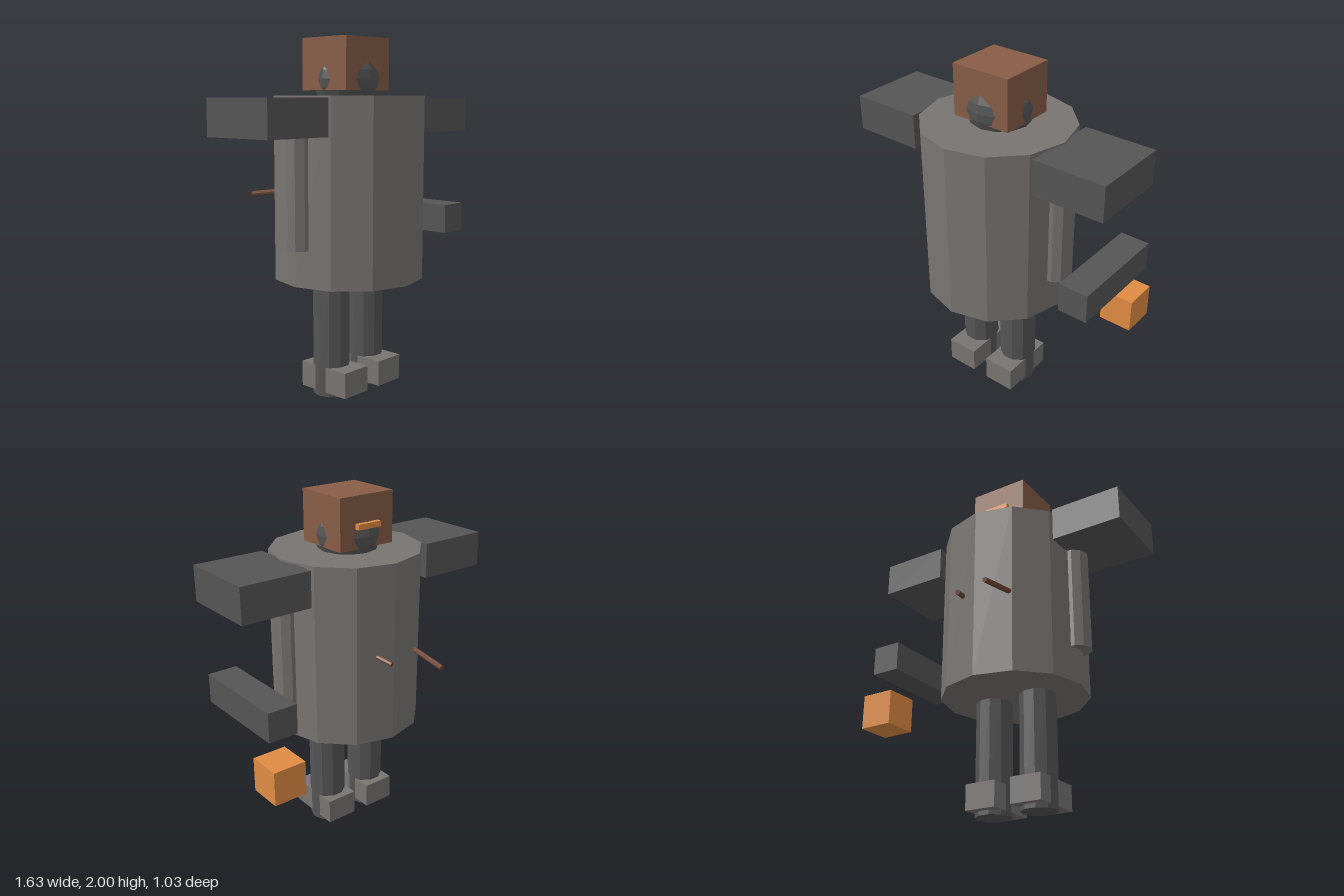
import * as THREE from 'three';

export function createModel() {
  const model = new THREE.Group();
  const paint = (color) => new THREE.MeshStandardMaterial({ color, flatShading: true });
  const stone = paint(0x787472);
  const dark = paint(0x555555);
  const brown = paint(0x875d46);
  const orange = paint(0xe08c44);
  const bark = paint(0x6e4836);

  function add(name, geometry, material, x, y, z) {
    const mesh = new THREE.Mesh(geometry, material);
    mesh.name = name;
    mesh.position.set(x, y, z);
    model.add(mesh);
    return mesh;
  }

  // Box given by its minimum and maximum corners
  function box(name, material, [x0, y0, z0], [x1, y1, z1]) {
    return add(name, new THREE.BoxGeometry(x1 - x0, y1 - y0, z1 - z0), material,
      (x0 + x1) / 2, (y0 + y1) / 2, (z0 + z1) / 2);
  }

  // Upright faceted column with a corner pointing sideways
  function column(name, material, radius, sides, x, y0, y1, z) {
    const geometry = new THREE.CylinderGeometry(radius, radius, y1 - y0, sides);
    geometry.rotateY(Math.PI / 2);
    return add(name, geometry, material, x, (y0 + y1) / 2, z);
  }

  // Thin rod between two points
  function twig(name, from, to) {
    const a = new THREE.Vector3(...from);
    const b = new THREE.Vector3(...to);
    const dir = b.clone().sub(a);
    const mid = a.clone().add(b).multiplyScalar(0.5);
    const rod = add(name, new THREE.CylinderGeometry(0.015, 0.015, dir.length(), 8), bark, mid.x, mid.y, mid.z);
    rod.quaternion.setFromUnitVectors(new THREE.Vector3(0, 1, 0), dir.normalize());
  }

  // Torso and head, with the neck ball bulging through the head's faces
  column('torso', stone, 0.428, 12, 0, 0.66, 1.683, 0.085);
  add('neckBall', new THREE.SphereGeometry(0.19, 12, 12), dark, 0, 1.775, 0.066);
  box('head', brown, [-0.177, 1.713, -0.1], [0.177, 2, 0.23]);
  box('headClip', orange, [-0.075, 1.822, -0.127], [0.075, 1.853, -0.09]);

  // Paired limbs
  for (const [side, s] of [['left', 1], ['right', -1]]) {
    column(side + 'Leg', dark, 0.105, 10, s * 0.145, 0, 0.68, 0.09);
    box(side + 'Foot', stone, [s * 0.143 - 0.094, 0.025, -0.053], [s * 0.143 + 0.094, 0.17, 0.28]);
    column(side + 'Arm', stone, 0.084, 10, s * 0.405, 0.865, 1.5, 0.09);
    box(side + 'Shoulder', dark, [s * 0.608 - 0.208, 1.473, -0.145], [s * 0.608 + 0.208, 1.673, 0.315]);
  }

  // Detached left forearm and the block beneath it
  box('forearm', dark, [0.595, 0.86, -0.27], [0.77, 1.03, 0.335]);
  box('heldBlock', orange, [0.585, 0.512, -0.32], [0.782, 0.71, -0.122]);

  // Twigs stuck in the back
  twig('longTwig', [-0.197, 1.14, -0.24], [-0.19, 1.1, -0.517]);
  twig('shortTwig', [0.104, 1.18, -0.27], [0.069, 1.152, -0.403]);

  return model;
}
